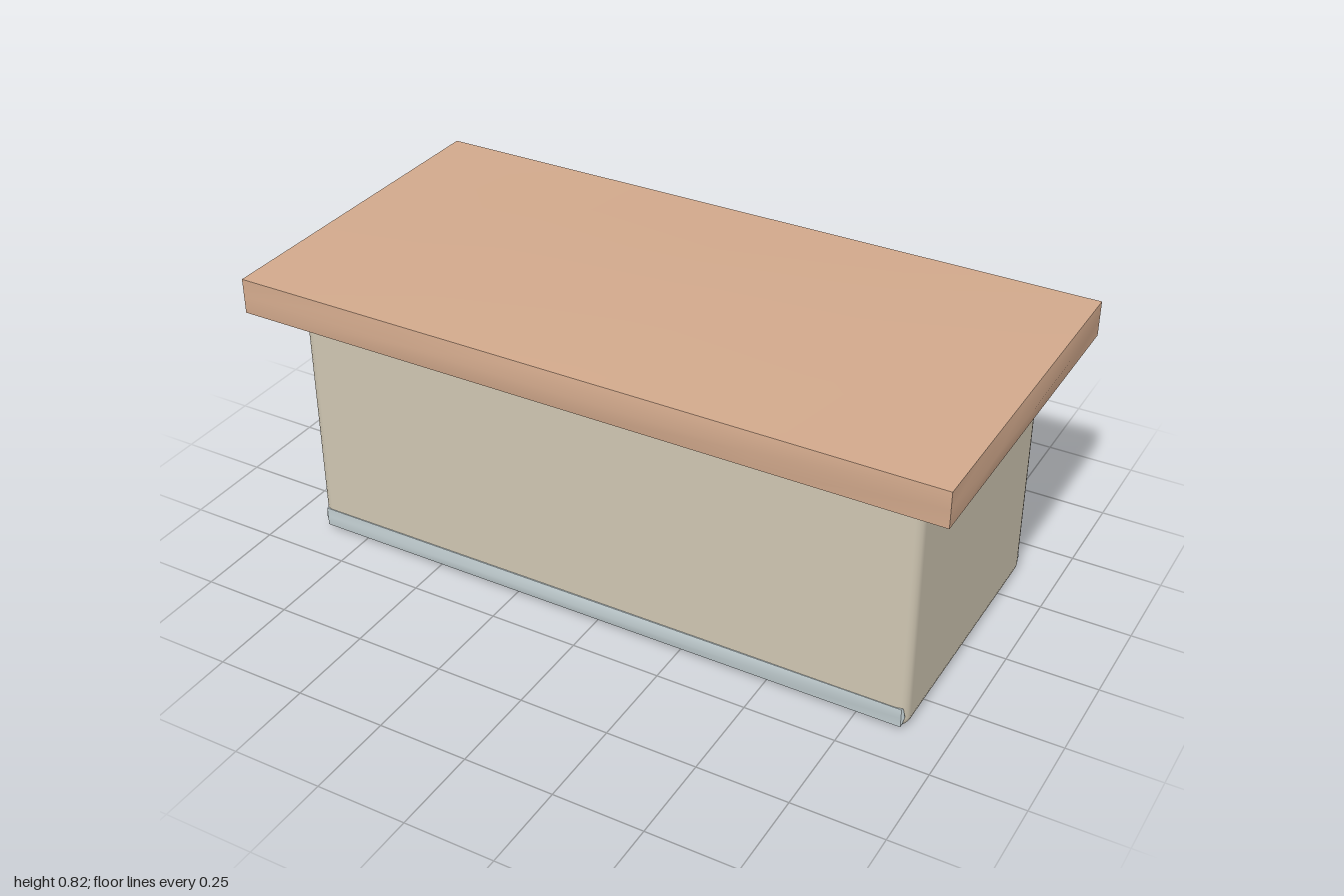
import * as THREE from 'three';
import { RoundedBoxGeometry } from 'three/addons/geometries/RoundedBoxGeometry.js';

const mat = (name, color) => new THREE.MeshStandardMaterial({ name, color });

// Box with straight edges whose faces swell outward by the given amounts
function pillowBox(w, h, d, [bx, by, bz]) {
  const geo = new THREE.BoxGeometry(w, h, d, 4, 2, 4);
  const p = geo.attributes.position, n = geo.attributes.normal;
  for (let i = 0; i < p.count; i++) {
    const x = p.getX(i), y = p.getY(i), z = p.getZ(i);
    const fx = 1 - (2 * x / w) ** 2, fy = 1 - (2 * y / h) ** 2, fz = 1 - (2 * z / d) ** 2;
    p.setXYZ(i,
      x + n.getX(i) * bx * fy * fz,
      y + n.getY(i) * by * fx * fz,
      z + n.getZ(i) * bz * fx * fy);
  }
  geo.computeVertexNormals();
  return geo;
}

export function createModel() {
  const group = new THREE.Group();
  const wood = mat('wood', 0xd2a98c);
  const paint = mat('cream paint', 0xcfc6b2);
  const metal = mat('pale metal', 0xc0cccf);

  const add = (name, geo, material, y, z = 0) => {
    const mesh = new THREE.Mesh(geo, material);
    mesh.name = name;
    mesh.position.set(0, y, z);
    group.add(mesh);
  };

  // Cabinet with softened edges
  add('cabinet', new RoundedBoxGeometry(1.776, 0.688, 0.776, 2, 0.03), paint, 0.344);

  // Worktop floating just above the cabinet
  add('worktop', pillowBox(1.98, 0.099, 0.98, [0.01, 0.01, 0.01]), wood, 0.762);

  // Kick strips along the front and back
  for (const s of [1, -1]) {
    add(s > 0 ? 'frontKickStrip' : 'backKickStrip',
      pillowBox(1.75, 0.055, 0.014, [0.008, 0.003, 0.009]), metal, 0.04, s * 0.383);
  }
  return group;
}
